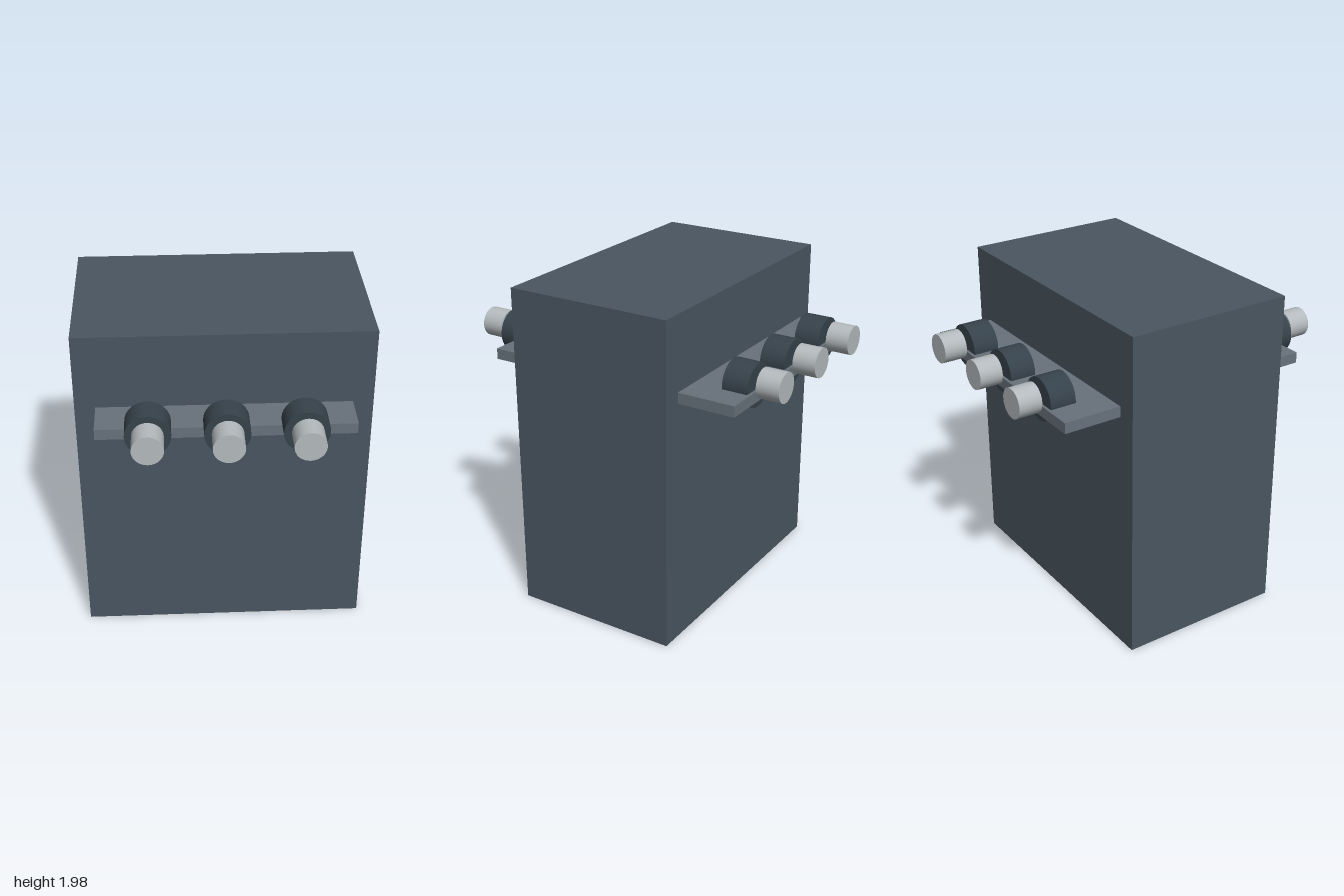
import * as THREE from 'three';

const mat = (color) => new THREE.MeshStandardMaterial({ color });

export function createModel() {
  const model = new THREE.Group();
  const bodyMat = mat(0x4a5661);
  const shelfMat = mat(0x68727c);
  const collarMat = mat(0x36424b);
  const capMat = mat(0xb4babd);

  const add = (name, geometry, material, x, y, z) => {
    const mesh = new THREE.Mesh(geometry, material);
    mesh.name = name;
    mesh.position.set(x, y, z);
    model.add(mesh);
  };

  // Main cabinet
  add('cabinet', new THREE.BoxGeometry(1.664, 1.98, 1.01), bodyMat, 0, 0.99, 0);

  // Cylinders lying along z
  const collarGeo = new THREE.CylinderGeometry(0.126, 0.126, 0.153, 32).rotateX(Math.PI / 2);
  const capGeo = new THREE.CylinderGeometry(0.087, 0.087, 0.138, 32).rotateX(Math.PI / 2);

  // Shelf and three terminals on each face; the back shelf is deeper
  for (const [side, s, reach] of [['front', 1, 0.732], ['back', -1, 0.85]]) {
    const depth = reach - 0.5;
    add(side + 'Shelf', new THREE.BoxGeometry(1.432, 0.064, depth), shelfMat,
      0, 1.509, s * (0.5 + depth / 2));
    for (const x of [-0.426, 0, 0.426]) {
      add(side + 'Collar', collarGeo, collarMat, x, 1.556, s * 0.756);
      add(side + 'Terminal', capGeo, capMat, x, 1.576, s * 0.931);
    }
  }
  return model;
}
